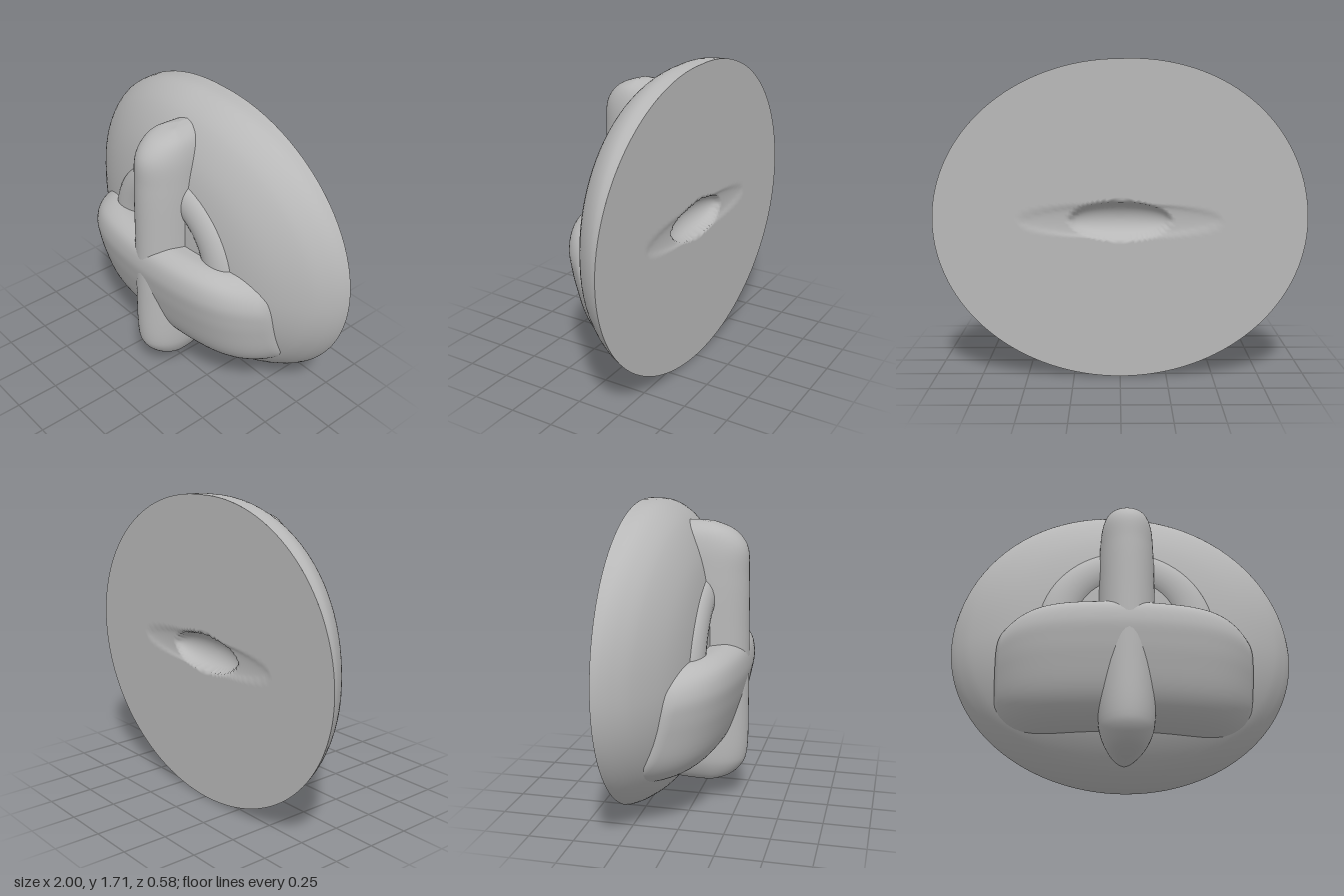
import * as THREE from 'three';
import { mergeVertices } from 'three/addons/utils/BufferGeometryUtils.js';

const CY = 0.853; // height of the dome's centre
const BACK = -0.295;

// Smooth surface from a rule fn(u, v) -> [x, y, z], u and v in 0..1
function surface(nu, nv, fn) {
  const pos = [], idx = [];
  for (let j = 0; j <= nv; j++)
    for (let i = 0; i <= nu; i++) pos.push(...fn(i / nu, j / nv));
  for (let j = 0; j < nv; j++)
    for (let i = 0; i < nu; i++) {
      const a = j * (nu + 1) + i, b = a + 1, c = a + nu + 1, d = c + 1;
      idx.push(a, b, d, a, d, c);
    }
  let g = new THREE.BufferGeometry();
  g.setAttribute('position', new THREE.Float32BufferAttribute(pos, 3));
  g.setIndex(idx);
  g = mergeVertices(g, 1e-5);
  g.computeVertexNormals();
  return g;
}

const spline = (pts) =>
  new THREE.CatmullRomCurve3(pts.map((p) => new THREE.Vector3(...p)), false, 'centripetal');

// Oval outline, a little fuller at the upper left
function rim(angle) {
  const c = Math.cos(angle), s = Math.sin(angle);
  const k = 1 + 0.03 * Math.max(0, -c * s * 2) * Math.max(0, s);
  return [c * k, 0.853 * s * k];
}

export function createModel() {
  const model = new THREE.Group();
  const grey = new THREE.MeshStandardMaterial({ color: 0xb8b8b8, side: THREE.DoubleSide });
  grey.name = 'plainGrey';
  const add = (name, geometry) => {
    const mesh = new THREE.Mesh(geometry, grey);
    mesh.name = name;
    model.add(mesh);
    return mesh;
  };

  // Domed shield: profile is (radius, depth), fuller on the upper half
  const upper = spline([[1, BACK, 0], [0.995, -0.2, 0], [0.96, -0.13, 0], [0.877, -0.05, 0],
    [0.7, 0.035, 0], [0.5, 0.08, 0], [0.25, 0.1, 0], [0, 0.1, 0]]);
  const lower = spline([[1, BACK, 0], [0.985, -0.26, 0], [0.95, -0.205, 0], [0.877, -0.125, 0],
    [0.7, -0.01, 0], [0.5, 0.06, 0], [0.25, 0.09, 0], [0, 0.1, 0]]);
  const p = new THREE.Vector3(), q = new THREE.Vector3();
  add('dome', surface(96, 40, (u, v) => {
    const a = u * Math.PI * 2, [x, y] = rim(a);
    upper.getPoint(v, p);
    lower.getPoint(v, q);
    p.lerp(q, 1 - Math.max(0, Math.sin(a)) ** 1.5);
    return [x * p.x, CY + y * p.x, p.y];
  }));

  // Flat back with a wide shallow groove and a deeper hollow in its middle
  add('backPlate', surface(128, 60, (u, v) => {
    const [rx, ry] = rim(u * Math.PI * 2);
    const x = rx * v, y = ry * v;
    const dip = (w, h, depth) => depth * Math.max(0, 1 - (x / w) ** 2 - (y / h) ** 2) ** 0.5;
    return [x, CY + y, BACK + dip(0.55, 0.09, 0.015) + dip(0.27, 0.1, 0.08)];
  }));

  // Low ring lying on the dome
  const ring = add('ring', new THREE.TorusGeometry(0.385, 0.115, 24, 72));
  ring.scale.z = 0.75;
  ring.position.set(0, 0.83, 0.035);

  // Upright bar, from top to bottom: (half width, height, front depth)
  const bar = spline([[0, 1.6, 0.0], [0.06, 1.585, 0.11], [0.115, 1.54, 0.21], [0.142, 1.46, 0.27],
    [0.154, 1.3, 0.281], [0.157, 1.0, 0.284], [0.157, 0.6, 0.286], [0.152, 0.29, 0.28],
    [0.14, 0.225, 0.262], [0.105, 0.155, 0.2], [0.055, 0.117, 0.1], [0, 0.105, 0.0]]);
  add('uprightBar', surface(48, 88, (u, v) => {
    const a = u * Math.PI * 2, s = Math.sin(a);
    bar.getPoint(v, p);
    const mid = Math.min(0.07, p.z);
    return [p.x * Math.cos(a), p.y, mid + s * (s > 0 ? p.z - mid : mid + 0.18)];
  }));

  // Curved crossband: section from bottom to top, swept across and bent back
  const section = spline([[0, 0.33, -0.25], [0, 0.27, -0.14], [0, 0.26, -0.03], [0, 0.32, 0.1],
    [0, 0.42, 0.185], [0, 0.6, 0.25], [0, 0.7, 0.275], [0, 0.8, 0.29], [0, 0.895, 0.268],
    [0, 0.94, 0.2], [0, 0.935, 0.1], [0, 0.9, -0.12]]);
  const N = 60;
  add('crossband', surface(N, 56, (u, v) => {
    // The outermost column on each side turns down into the dome
    const end = u < 0.5 / N || u > 1 - 0.5 / N;
    const t = THREE.MathUtils.clamp((u * N - N / 2) / (N / 2 - 1), -1, 1);
    section.getPoint(v, p);
    const y = 0.6 + (p.y - 0.6) * (1 - 0.17 * t ** 6);
    const half = 0.72 - 0.06 * ((p.y - 0.58) / 0.35) ** 4;
    const z = p.z - 0.12 * t ** 2 - 0.17 * t ** 6 - (end ? 0.15 : 0);
    return [t * half, y, Math.max(z, -0.26)];
  }));

  return model;
}
